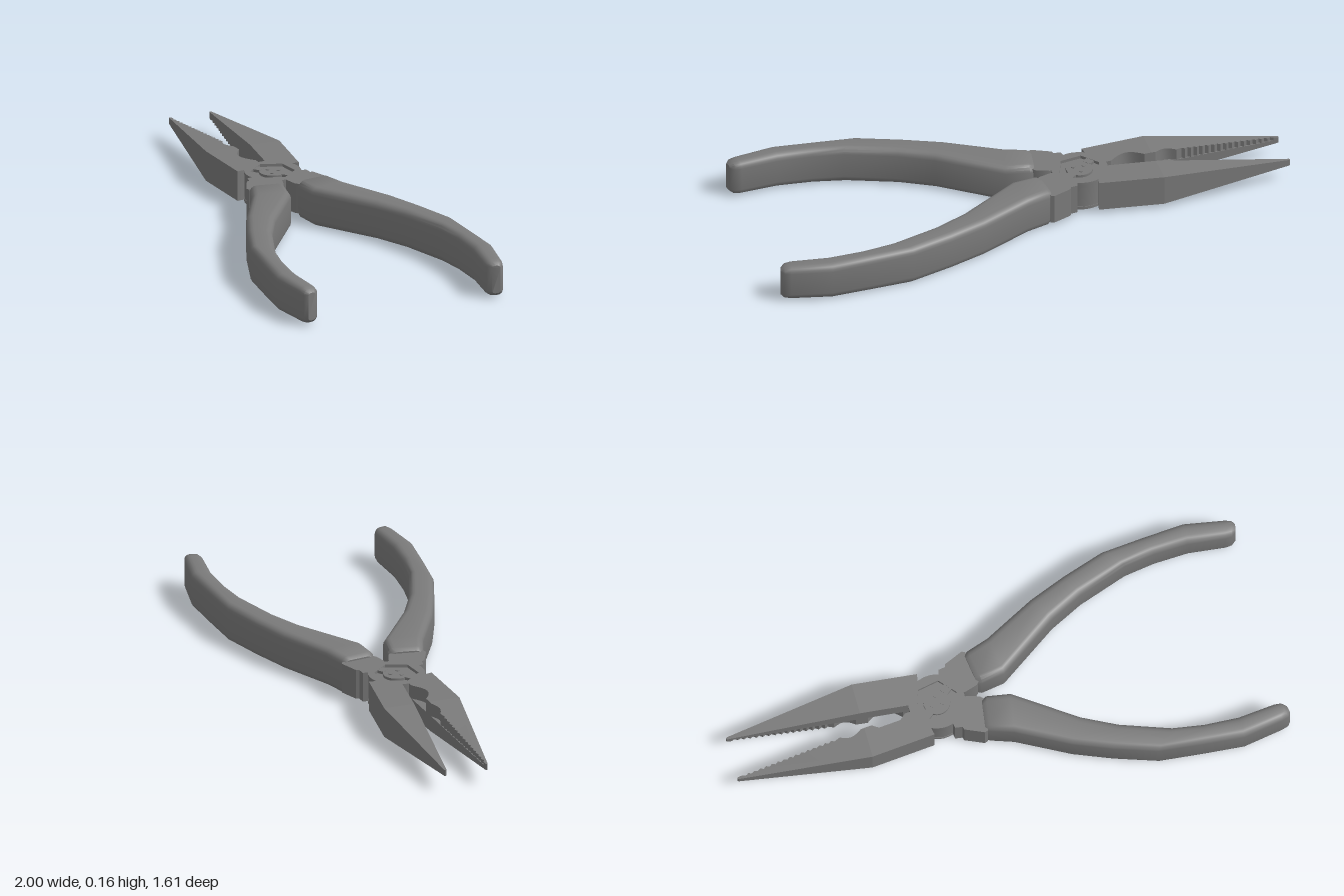
import * as THREE from 'three';
import { toCreasedNormals } from 'three/addons/utils/BufferGeometryUtils.js';

const steel = new THREE.MeshStandardMaterial({ color: 0x7a7a7a });
const H = 0.12; // thickness of the metal

// Plan outline (along, across) extruded upwards between y0 and y1
function plate(points, y0, y1, hole) {
  const shape = new THREE.Shape(points.map(([a, b]) => new THREE.Vector2(a, b)));
  if (hole) shape.holes.push(new THREE.Path(hole.map(([a, b]) => new THREE.Vector2(a, b))));
  const geo = new THREE.ExtrudeGeometry(shape, { depth: y1 - y0, bevelEnabled: false });
  return geo.rotateX(-Math.PI / 2).translate(0, y0, 0);
}

function add(parent, name, geo, crease = 0.6) {
  const mesh = new THREE.Mesh(toCreasedNormals(geo, crease), steel);
  mesh.name = name;
  parent.add(mesh);
  return mesh;
}

// Points of a shallow arc cut into the jaw's inner edge
const innerEdge = a => 0.003 - 0.094 * a;
function arc(a0, a1, depth, n = 8) {
  return Array.from({ length: n + 1 }, (_, i) => {
    const a = a0 + (a1 - a0) * i / n;
    return [a, innerEdge(a) + depth * Math.sin(Math.PI * i / n)];
  });
}

const circle = (r, n, turn = 0) => Array.from({ length: n }, (_, i) => {
  const t = turn + 2 * Math.PI * i / n;
  return [r * Math.cos(t), r * Math.sin(t)];
});

// One layer of the tapered jaw nose, plain or with a toothed and notched inner edge
function noseGeometry(y0, y1, toothed) {
  const pts = [[-0.295, 0.152], [-0.808, 0.088], [-0.812, 0.084], [-0.808, 0.079]];
  if (toothed) {
    for (let i = 0; i < 16; i++) {
      const a = -0.79 + i * 0.024;
      pts.push([a, innerEdge(a)], [a + 0.012, innerEdge(a) + 0.006]);
    }
    pts.push(...arc(-0.395, -0.31, 0.016, 6));
  }
  pts.push([-0.295, innerEdge(-0.295)]);
  const geo = plate(pts, y0, y1);
  const p = geo.attributes.position;
  for (let i = 0; i < p.count; i++) {
    const t = (-0.295 - p.getX(i)) / 0.517;
    p.setY(i, p.getY(i) * (1 - 0.8 * t));
  }
  geo.computeVertexNormals();
  return geo;
}

// Grip: rounded-rectangle sections [outer a, outer b, inner a, inner b, half height]
function gripGeometry() {
  const stations = [
    [0.150, 0.160, 0.168, 0.034, 0.066],
    [0.166, 0.167, 0.188, 0.028, 0.0775],
    [0.254, 0.197, 0.280, 0.043, 0.0775],
    [0.453, 0.303, 0.515, 0.207, 0.0775],
    [0.600, 0.362, 0.645, 0.273, 0.0775],
    [0.765, 0.417, 0.840, 0.342, 0.0775],
    [0.930, 0.434, 0.960, 0.360, 0.0765],
    [1.097, 0.448, 1.095, 0.366, 0.075],
    [1.255, 0.421, 1.240, 0.350, 0.072],
    [1.280, 0.413, 1.266, 0.352, 0.068],
    [1.291, 0.398, 1.284, 0.366, 0.056],
  ];
  const pos = [], idx = [], per = 20;
  for (const [oa, ob, ia, ib, h] of stations) {
    const w = Math.hypot(oa - ia, ob - ib) / 2, r = Math.min(0.028, w * 0.7);
    for (let c = 0; c < 4; c++) for (let k = 0; k < 5; k++) {
      const t = (c + k / 4) * Math.PI / 2;
      const s = ((c === 0 || c === 3 ? 1 : -1) * (w - r) + r * Math.cos(t)) / w;
      const y = (c < 2 ? 1 : -1) * (h - r) + r * Math.sin(t);
      pos.push((oa + ia + (oa - ia) * s) / 2, y, -(ob + ib + (ob - ib) * s) / 2);
    }
  }
  const last = (stations.length - 1) * per;
  for (let j = 0; j < per; j++) {
    const k = (j + 1) % per;
    for (let i = 0; i < last; i += per)
      idx.push(i + j, i + k, i + per + j, i + k, i + per + k, i + per + j);
    // End caps as fans
    if (j > 0 && j < per - 1) idx.push(0, k, j, last, last + j, last + k);
  }
  const geo = new THREE.BufferGeometry();
  geo.setAttribute('position', new THREE.Float32BufferAttribute(pos, 3));
  geo.setIndex(idx);
  geo.computeVertexNormals();
  return geo;
}

function half(name) {
  const g = new THREE.Group();
  g.name = name;
  add(g, 'jawNose', noseGeometry(-0.005, H / 2, false), 0.3);
  add(g, 'jawNoseToothed', noseGeometry(-H / 2, -0.005, true), 0.3);
  // Jaw base in two layers, the lower one with a round gripping recess
  const outer = [[-0.05, 0.09], [-0.043, 0.127], [-0.295, 0.152], [-0.295, innerEdge(-0.295)]];
  const heel = [-0.1, innerEdge(-0.1)];
  add(g, 'jawBase', plate([...outer, heel], -0.005, H / 2));
  add(g, 'jawBaseRecessed', plate([...outer, ...arc(-0.265, -0.13, 0.035), heel], -H / 2, -0.005));
  // Neck between joint and grip
  add(g, 'neck', plate([[-0.01, 0.09], [0.035, 0.095], [0.04, 0.122], [0.068, 0.126], [0.072, 0.138],
    [0.145, 0.17], [0.158, 0.165], [0.18, 0.04], [0.165, 0.024], [0.115, 0.008], [0.09, 0.015],
    [0.06, 0.08]], -H / 2, H / 2));
  add(g, 'grip', gripGeometry(), 0.7);
  return g;
}

export function createModel() {
  const model = new THREE.Group();
  model.name = 'pliers';
  const tool = new THREE.Group();
  tool.name = 'openPliers';
  tool.position.set(-0.288, 0.0775, -0.268);
  tool.rotation.y = -0.609;
  model.add(tool);

  // Two identical halves, one turned over about the long axis
  const upper = half('leftHalf'), lower = half('rightHalf');
  lower.rotation.x = Math.PI;
  tool.add(upper, lower);

  // Joint: core disc, a rim with a hexagonal recess on each face, and the rivet
  const joint = new THREE.Group();
  joint.name = 'joint';
  tool.add(joint);
  add(joint, 'jointCore', new THREE.CylinderGeometry(0.108, 0.108, 0.096, 32));
  for (const s of [0, 1]) {
    const y = s ? 0.048 : -H / 2;
    add(joint, 'jointRim', plate(circle(0.11, 32), y, y + 0.012, circle(0.085, 6, 0.2)));
  }
  add(joint, 'rivet', new THREE.CylinderGeometry(0.052, 0.052, 0.116, 24));
  // Small studs on both rivet faces
  for (const [x, z] of circle(0.024, 3, 0.5)) {
    add(joint, 'rivetStud', new THREE.CylinderGeometry(0.008, 0.008, 0.122, 8)).position.set(x, 0, z);
  }
  // Two lugs bridging the recess
  for (const t of [0.7, 0.7 + Math.PI]) {
    const lug = add(joint, 'recessLug', new THREE.BoxGeometry(0.045, 0.118, 0.035));
    lug.position.set(0.068 * Math.cos(t), 0, -0.068 * Math.sin(t));
    lug.rotation.y = t;
  }
  return model;
}
